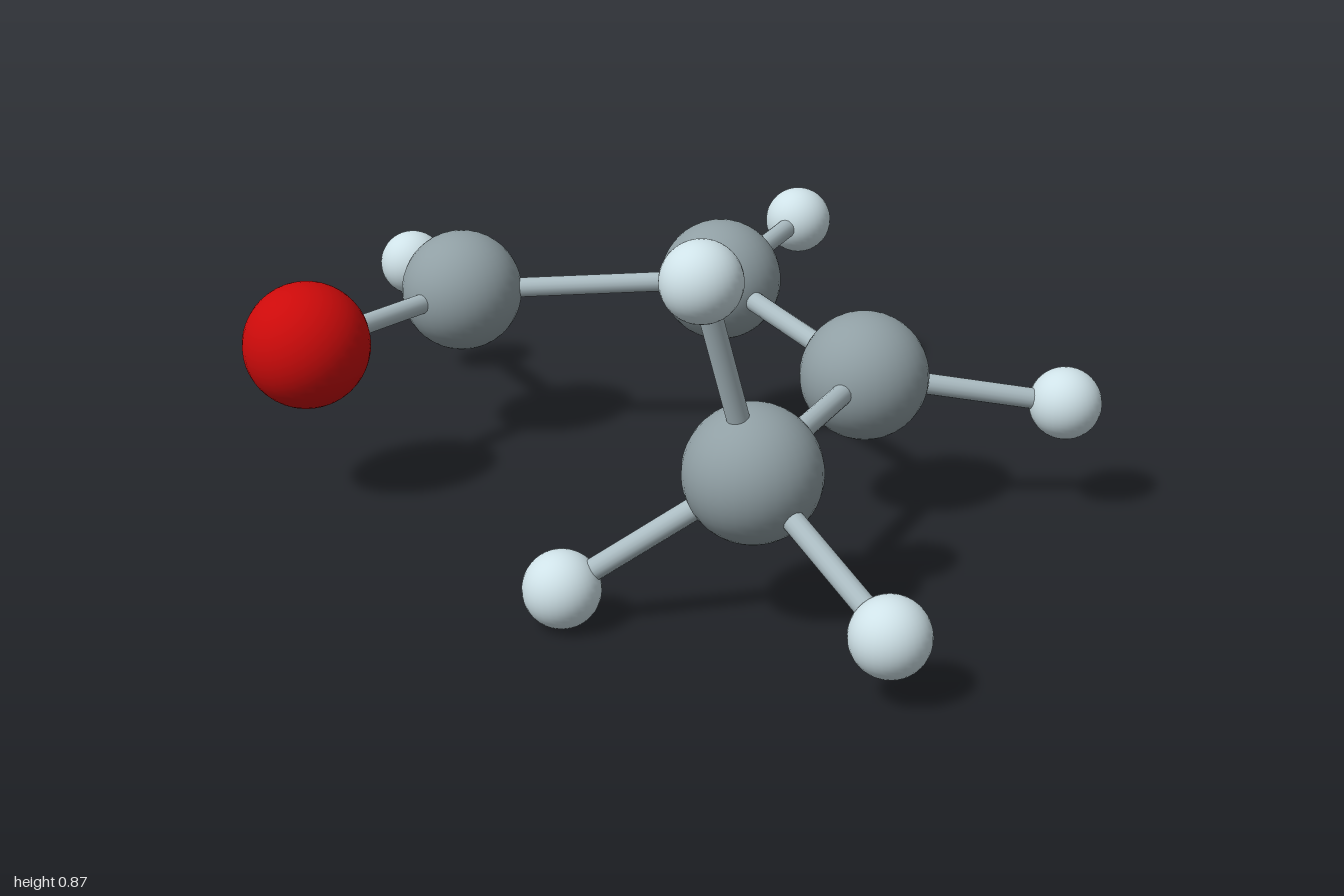
import * as THREE from 'three';

const UP = new THREE.Vector3(0, 1, 0);

export function createModel() {
  const group = new THREE.Group();
  group.name = 'molecule';
  const mat = (color) => new THREE.MeshStandardMaterial({ color });

  const bigBall = new THREE.SphereGeometry(0.146, 32, 24);
  const smallBall = new THREE.SphereGeometry(0.083, 32, 24);
  const kinds = {
    carbon: { geometry: bigBall, material: mat(0x909fa4) },
    oxygen: { geometry: bigBall, material: mat(0xcc0a0a) },
    hydrogen: { geometry: smallBall, material: mat(0xcfe2e8) },
  };
  const bondMaterial = mat(0xabbcc2);

  // Atoms: kind and centre
  const atoms = {
    oxygen: ['oxygen', -0.655, 0.39, 0.487],
    carbonEnd: ['carbon', -0.563, 0.393, -0.02],
    carbonMiddle: ['carbon', -0.003, 0.424, -0.31],
    carbonSide: ['carbon', 0.497, 0.347, -0.043],
    carbonMethyl: ['carbon', 0.532, 0.345, 0.593],
    hydrogenEnd: ['hydrogen', -0.917, 0.328, -0.326],
    hydrogenMiddle: ['hydrogen', -0.015, 0.455, -0.774],
    hydrogenSide: ['hydrogen', 0.888, 0.268, -0.291],
    hydrogenMethylTop: ['hydrogen', 0.496, 0.79, 0.754],
    hydrogenMethylRight: ['hydrogen', 0.187, 0.086, 0.774],
    hydrogenMethylLeft: ['hydrogen', 0.915, 0.145, 0.769],
  };
  const centre = {};
  for (const [name, [kind, x, y, z]] of Object.entries(atoms)) {
    const ball = new THREE.Mesh(kinds[kind].geometry, kinds[kind].material);
    ball.name = name;
    ball.position.set(x, y, z);
    centre[name] = ball.position;
    group.add(ball);
  }

  // Bonds: rods between atom centres
  const bonds = [
    ['oxygen', 'carbonEnd'],
    ['carbonEnd', 'carbonMiddle'],
    ['carbonMiddle', 'carbonSide'],
    ['carbonSide', 'carbonMethyl'],
    ['carbonEnd', 'hydrogenEnd'],
    ['carbonMiddle', 'hydrogenMiddle'],
    ['carbonSide', 'hydrogenSide'],
    ['carbonMethyl', 'hydrogenMethylTop'],
    ['carbonMethyl', 'hydrogenMethylRight'],
    ['carbonMethyl', 'hydrogenMethylLeft'],
  ];
  for (const [from, to] of bonds) {
    const span = centre[to].clone().sub(centre[from]);
    const rod = new THREE.Mesh(
      new THREE.CylinderGeometry(0.024, 0.024, span.length(), 16),
      bondMaterial
    );
    rod.name = 'bond';
    rod.position.copy(centre[from]).addScaledVector(span, 0.5);
    rod.quaternion.setFromUnitVectors(UP, span.normalize());
    group.add(rod);
  }
  return group;
}
